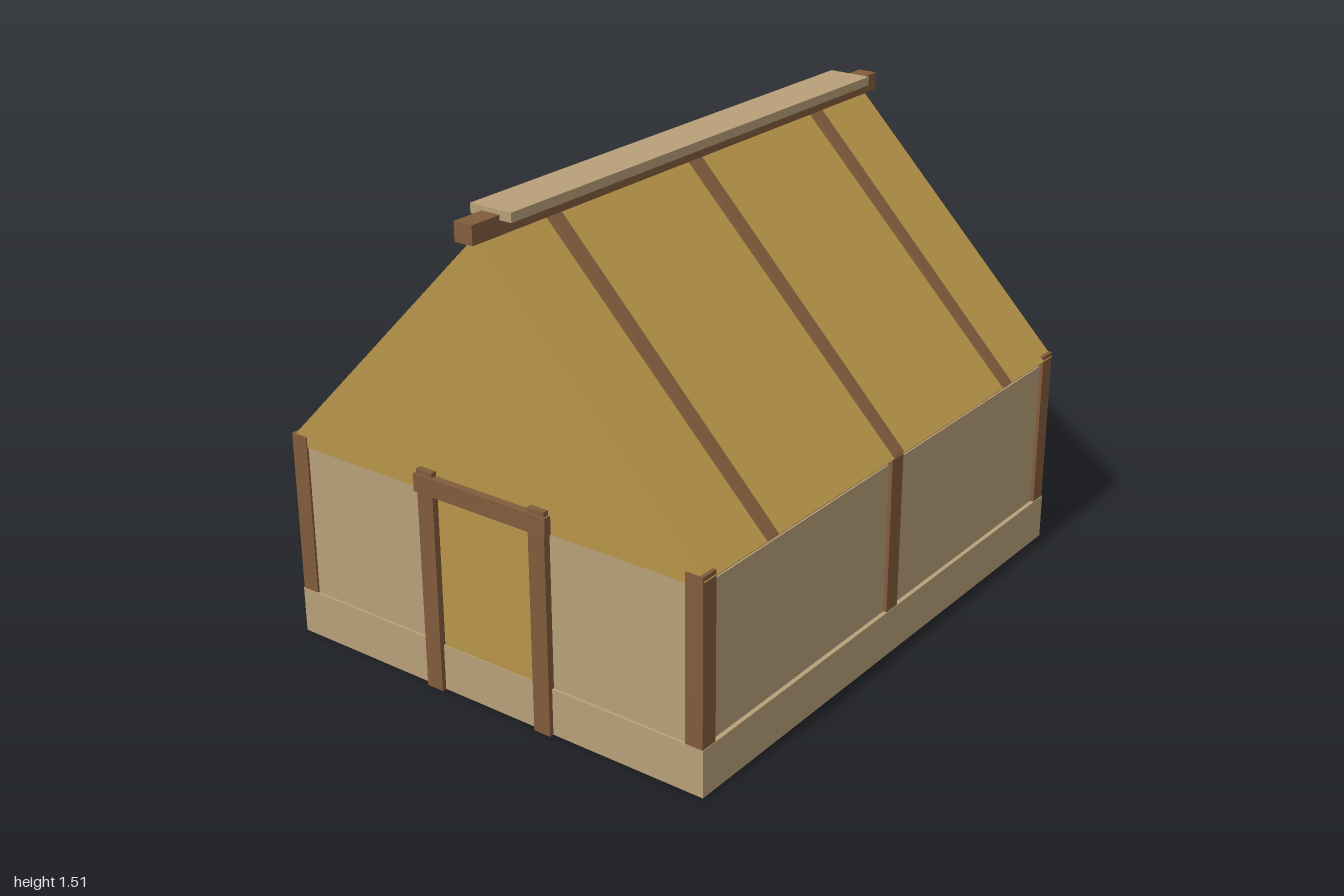
import * as THREE from 'three';

const clay = new THREE.MeshStandardMaterial({ color: 0xb8a078 });
clay.name = 'clay';
const thatch = new THREE.MeshStandardMaterial({ color: 0xb8954a });
thatch.name = 'thatch';
const wood = new THREE.MeshStandardMaterial({ color: 0x825c3c });
wood.name = 'wood';

export function createModel() {
  const model = new THREE.Group();
  model.name = 'cottage';

  const add = (name, geometry, material) => {
    const mesh = new THREE.Mesh(geometry, material);
    mesh.name = name;
    model.add(mesh);
    return mesh;
  };

  // box given by its lower and upper limits on each axis
  const box = (name, material, [x0, x1], [y0, y1], [z0, z1]) =>
    add(name, new THREE.BoxGeometry(x1 - x0, y1 - y0, z1 - z0), material)
      .position.set((x0 + x1) / 2, (y0 + y1) / 2, (z0 + z1) / 2);

  // x-y outline extruded between two z limits
  const prism = (name, material, points, z0, z1) => {
    const shape = new THREE.Shape(points.map(([x, y]) => new THREE.Vector2(x, y)));
    const geometry = new THREE.ExtrudeGeometry(shape, { depth: z1 - z0, bevelEnabled: false });
    geometry.translate(0, 0, z0);
    add(name, geometry, material);
  };

  // foundation and walls
  box('foundation', clay, [-0.766, 0.766], [0, 0.15], [-0.97, 0.97]);
  box('walls', clay, [-0.752, 0.752], [0.15, 0.64], [-0.962, 0.962]);

  // corner and middle posts
  for (const side of [-1, 1]) {
    const x = side < 0 ? [-0.764, -0.705] : [0.705, 0.764];
    box('cornerPostFront', wood, x, [0.14, 0.675], [0.91, 0.969]);
    box('cornerPostBack', wood, x, [0.14, 0.675], [-0.968, -0.91]);
    box('middlePost', wood, x, [0.14, 0.66], [-0.03, 0.03]);
  }

  // roof with gables, eave edges cut square to the slope
  prism('roof', thatch, [
    [-0.745, 0.64], [0.745, 0.64], [0.752, 0.645], [0.766, 0.66],
    [0, 1.442], [-0.766, 0.66], [-0.752, 0.645],
  ], -0.966, 0.966);

  // rafters lying on both slopes
  for (const z of [-0.657, 0, 0.655]) {
    prism('rafters', wood, [
      [0.755, 0.648], [0.771, 0.668], [0, 1.468], [-0.771, 0.668], [-0.755, 0.648], [0, 1.42],
    ], z - 0.023, z + 0.023);
  }

  // ridge
  box('ridgeBeam', wood, [-0.032, 0.032], [1.438, 1.496], [-1, 1]);
  box('ridgeCap', clay, [-0.073, 0.073], [1.481, 1.51], [-0.89, 0.89]);

  // door and its frame
  box('door', thatch, [-0.175, 0.175], [0.15, 0.645], [0.96, 0.967]);
  box('doorPostLeft', wood, [0.178, 0.237], [0, 0.712], [0.93, 0.985]);
  box('doorPostRight', wood, [-0.237, -0.178], [0, 0.712], [0.93, 0.985]);
  box('lintel', wood, [-0.245, 0.245], [0.64, 0.697], [0.935, 0.991]);

  return model;
}
